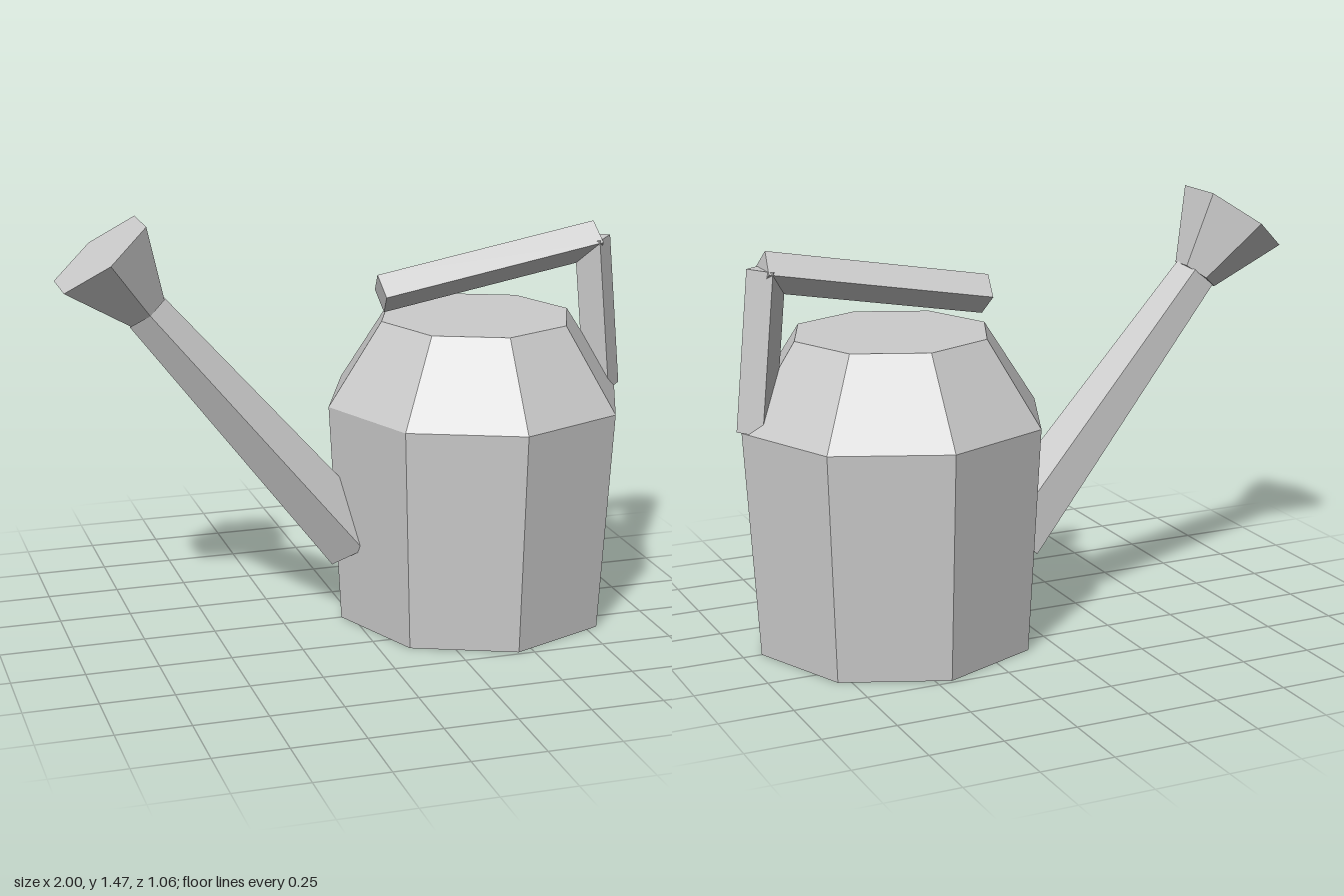
import * as THREE from 'three';

export function createModel() {
  const model = new THREE.Group();
  model.name = 'wateringCan';

  const grey = new THREE.MeshStandardMaterial({ color: 0xcccccc, flatShading: true });
  grey.name = 'grey metal';

  function add(name, geometry) {
    const mesh = new THREE.Mesh(geometry, grey);
    mesh.name = name;
    model.add(mesh);
    return mesh;
  }

  // Tapered prism running between two points of the z = 0 plane, one corner towards +z
  function prism(name, [ax, ay], [bx, by], radiusA, radiusB, sides) {
    const a = new THREE.Vector3(ax, ay, 0);
    const b = new THREE.Vector3(bx, by, 0);
    const along = b.clone().sub(a);
    const geometry = new THREE.CylinderGeometry(radiusB, radiusA, along.length(), sides);
    along.normalize();
    const across = new THREE.Vector3(along.y, -along.x, 0);
    const matrix = new THREE.Matrix4().makeBasis(across, along, new THREE.Vector3(0, 0, 1));
    matrix.setPosition(a.add(b).multiplyScalar(0.5));
    return add(name, geometry.applyMatrix4(matrix));
  }

  // Octagonal tank with sloping shoulder and closed ends
  const profile = [[0, 0], [0.487, 0], [0.532, 0.78], [0.342, 1.07], [0, 1.07]];
  const body = add('body', new THREE.LatheGeometry(profile.map(([x, y]) => new THREE.Vector2(x, y)), 8));
  body.position.x = 0.448;

  // Five-sided spout and its hexagonal flared rose
  prism('spout', [0.006, 0.291], [-0.715, 1.165], 0.122, 0.079, 5);
  prism('rose', [-0.715, 1.165], [-0.8625, 1.365], 0.081, 0.198, 6);

  // Handle made of two square bars set on edge
  prism('handleGrip', [0.103, 1.168], [0.893, 1.312], 0.067, 0.067, 4);
  prism('handlePost', [0.93, 0.779], [0.879, 1.318], 0.067, 0.067, 4);

  return model;
}
